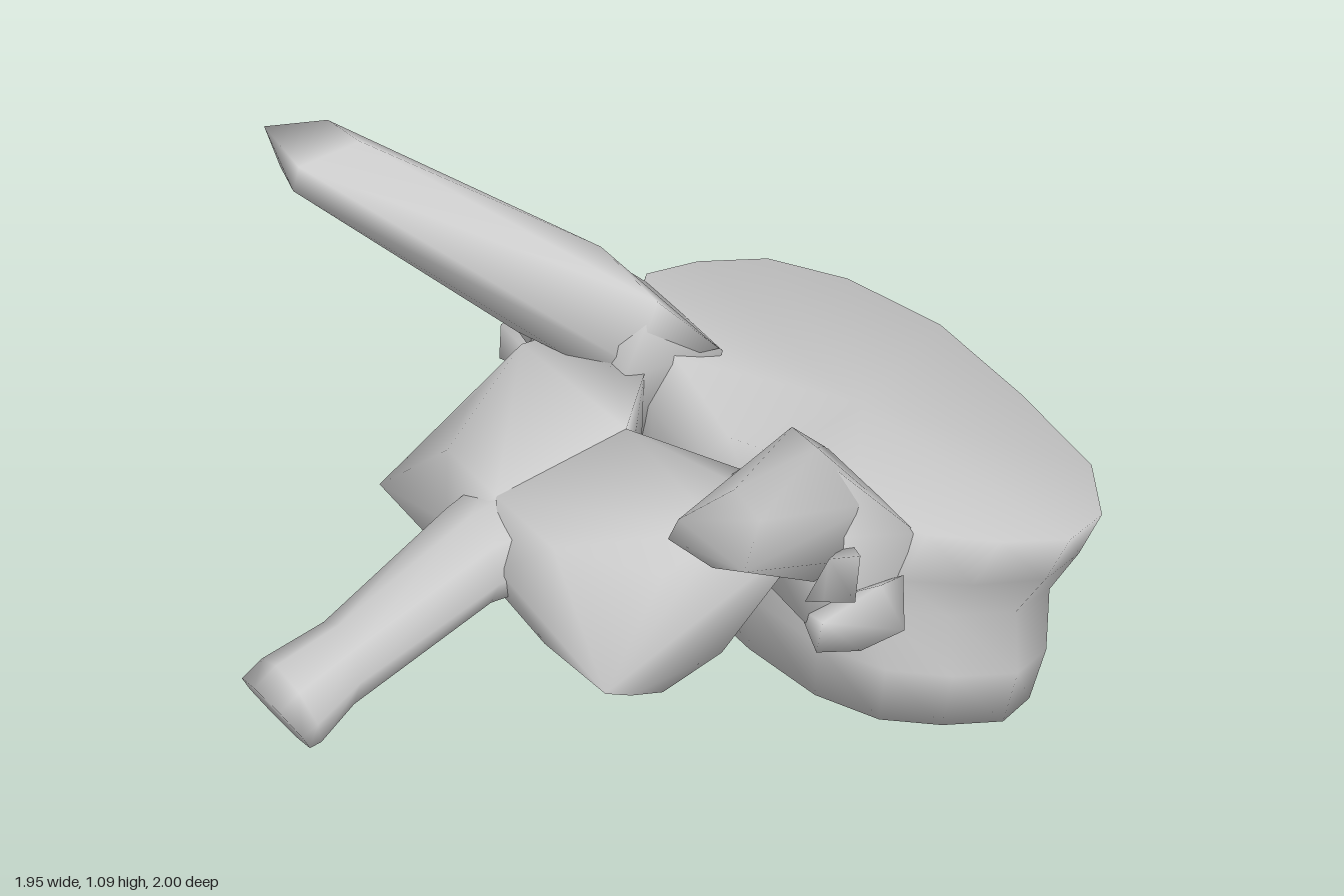
import * as THREE from 'three';
import { ConvexGeometry } from 'three/addons/geometries/ConvexGeometry.js';
import { mergeVertices } from 'three/addons/utils/BufferGeometryUtils.js';

const material = new THREE.MeshStandardMaterial({ color: 0xcccccc, side: THREE.DoubleSide });

function part(name, geometry) {
  const mesh = new THREE.Mesh(geometry, material);
  mesh.name = name;
  return mesh;
}

// Closed skin over a list of rings, each an array of [x, y, z]
function loft(rings) {
  const n = rings[0].length;
  const position = rings.flat(2);
  const index = [];
  for (let i = 0; i < rings.length - 1; i++) {
    for (let j = 0; j < n; j++) {
      const k = (j + 1) % n;
      const a = i * n + j, b = i * n + k, c = a + n, d = b + n;
      index.push(a, b, c, b, d, c);
    }
  }
  const cap = (level, flip) => {
    const centre = position.length / 3;
    for (let axis = 0; axis < 3; axis++) {
      position.push(rings[level].reduce((sum, p) => sum + p[axis], 0) / n);
    }
    for (let j = 0; j < n; j++) {
      const a = level * n + j, b = level * n + (j + 1) % n;
      index.push(centre, flip ? b : a, flip ? a : b);
    }
  };
  cap(0, true);
  cap(rings.length - 1, false);
  const g = new THREE.BufferGeometry();
  g.setAttribute('position', new THREE.Float32BufferAttribute(position, 3));
  g.setIndex(index);
  g.computeVertexNormals();
  return g;
}

// Smooth-shaded bony lump around a few corners; side mirrors it in z
function lump(points, side) {
  const hull = new ConvexGeometry(points.map(([x, y, z]) => new THREE.Vector3(x, y, z * side)));
  hull.deleteAttribute('normal');
  const g = mergeVertices(hull, 1e-4);
  g.computeVertexNormals();
  return g;
}

// Tilted, waisted drum
function bodyGeometry() {
  // outline from back to front: [along x, half width]
  const half = [[0, 0], [0, 0.35], [0.06, 0.72], [0.2, 0.93], [0.41, 1], [0.65, 1], [0.84, 0.84], [0.98, 0.5], [1, 0]];
  const outline = [...half, ...half.slice(1, -1).reverse().map(([u, w]) => [u, -w])];
  // levels: back x, front x, half width, back y, front y, notch depth at the back
  const levels = [
    [0.16, 0.805, 0.57, 0.19, 0.0, 0],
    [0.15, 0.84, 0.6, 0.34, 0.13, 0],
    [0.15, 0.88, 0.55, 0.47, 0.25, 0],
    [0.165, 0.93, 0.61, 0.57, 0.36, 0],
    [0.23, 0.975, 0.63, 0.685, 0.45, 0.08],
  ];
  return loft(levels.map(([x0, x1, w, y0, y1, notch]) => outline.map(([u, v]) => [
    x0 + (x1 - x0) * u,
    y0 + (y1 - y0) * u - (u === 0 && v === 0 ? notch : 0),
    w * v,
  ])));
}

// Rear spine with a slightly swollen tip
function spineGeometry() {
  // rings: x, y, half height, half width, lean of the ring
  const rings = [
    [-0.28, 0.56, 0.11, 0.17, 0],
    [-0.43, 0.53, 0.1, 0.13, 0],
    [-0.76, 0.365, 0.1, 0.09, 0],
    [-0.88, 0.31, 0.105, 0.11, -0.04],
    [-0.92, 0.29, 0.085, 0.11, -0.055],
  ];
  const sides = 8;
  return loft(rings.map(([x, y, h, w, lean]) => Array.from({ length: sides }, (_, j) => {
    const t = (j / sides) * Math.PI * 2;
    return [x + lean * Math.cos(t), y + h * Math.cos(t), -w * Math.sin(t)];
  })));
}

// Paired parts, given for the +z side
const paired = {
  // half of the rear arch, with its downward joint
  arch: [
    [-0.03, 0.72, 0], [-0.36, 0.66, 0], [-0.42, 0.55, 0.11], [-0.35, 0.65, 0.22], [-0.18, 0.62, 0.4], [-0.04, 0.7, 0.42],
    [0.15, 0.67, 0.22], [0.18, 0.66, 0.46], [-0.03, 0.55, 0], [-0.38, 0.45, 0], [0.15, 0.5, 0.23],
    [-0.37, 0.42, 0.47], [-0.31, 0.4, 0.48], [-0.22, 0.31, 0.32], [-0.2, 0.34, 0.43], [0.05, 0.43, 0.3],
    [-0.05, 0.39, 0.43], [0.06, 0.52, 0.4], [-0.39, 0.43, 0.25],
  ],
  // bridge from the body to the arch
  pedicle: [
    [0.35, 0.66, 0.22], [0.1, 0.68, 0.22], [0.37, 0.63, 0.56], [0.08, 0.64, 0.6], [0.22, 0.79, 0.29],
    [0.18, 0.84, 0.45], [0.12, 0.73, 0.6], [0.11, 0.48, 0.25], [0.3, 0.45, 0.27], [0.32, 0.4, 0.52],
    [0.08, 0.5, 0.57], [0.24, 0.46, 0.58],
  ],
  sideProcess: [
    [0.34, 0.67, 0.22], [0.34, 0.66, 0.45], [0.22, 0.8, 0.28], [0.18, 0.86, 0.45], [0.14, 0.68, 0.24],
    [0.03, 0.69, 0.34], [-0.03, 0.71, 0.45], [0.08, 0.63, 0.6], [0.2, 0.62, 0.56], [0.1, 0.74, 0.63],
    [-0.4, 1.02, 0.78], [-0.38, 1.07, 0.79], [-0.23, 1.09, 0.78], [-0.24, 1.08, 0.9], [-0.34, 1.04, 1], [-0.36, 1.0, 0.9],
  ],
  upperFacet: [
    [0.07, 0.74, 0.68], [0.15, 0.72, 0.68], [0.05, 0.64, 0.69], [0.1, 0.65, 0.74], [0.07, 0.57, 0.58], [0.22, 0.64, 0.52],
  ],
  lowerFacet: [
    [0.05, 0.49, 0.66], [0.15, 0.47, 0.68], [0.25, 0.5, 0.7], [0.06, 0.57, 0.67], [0.22, 0.6, 0.65],
    [0.25, 0.44, 0.5], [0.1, 0.5, 0.5], [0.32, 0.55, 0.58],
  ],
};

export function createModel() {
  const model = new THREE.Group();
  model.name = 'vertebra';
  model.add(part('body', bodyGeometry()), part('rearSpine', spineGeometry()));
  for (const [name, points] of Object.entries(paired)) {
    for (const side of [1, -1]) {
      model.add(part(name + (side > 0 ? 'Front' : 'Back'), lump(points, side)));
    }
  }
  return model;
}
